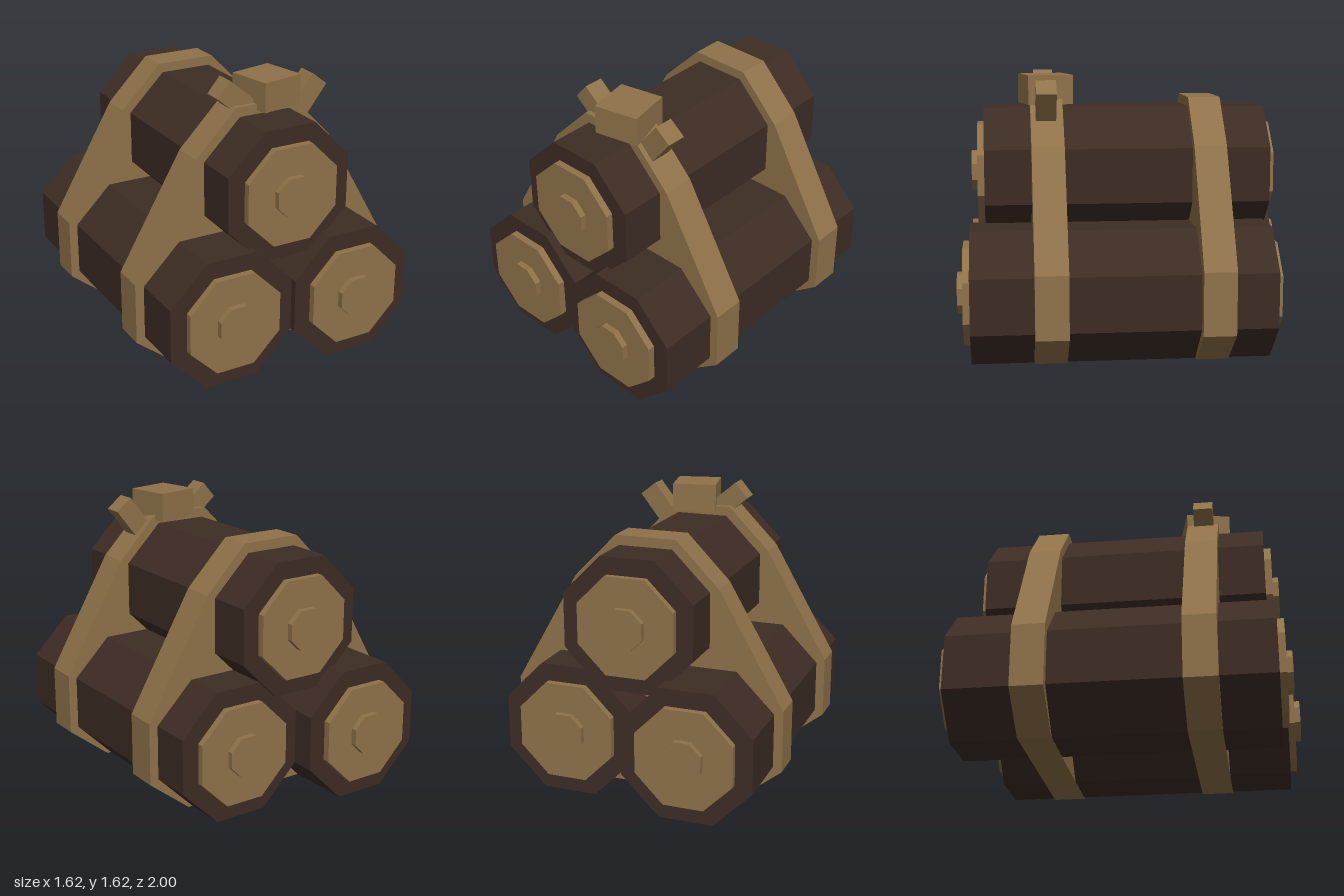
import * as THREE from 'three';

const bark = new THREE.MeshStandardMaterial({ color: 0x3d2c24 });
bark.name = 'bark';
const wood = new THREE.MeshStandardMaterial({ color: 0x8f7249 });
wood.name = 'cutWoodAndRope';

// Flat-sided octagonal prism along z, sized by its half-width across the flats
function octagon(name, apothem, z0, z1, material) {
  const r = apothem / Math.cos(Math.PI / 8);
  const geo = new THREE.CylinderGeometry(r, r, z1 - z0, 8).toNonIndexed();
  geo.rotateY(Math.PI / 8).rotateX(Math.PI / 2).translate(0, 0, (z0 + z1) / 2);
  geo.computeVertexNormals();
  const mesh = new THREE.Mesh(geo, material);
  mesh.name = name;
  return mesh;
}

// A log with a pale cut face and a raised core on both ends
function makeLog(name, x, y, back, front) {
  const log = new THREE.Group();
  log.name = name;
  log.add(
    octagon('bark', 0.379, back, front, bark),
    octagon('cutFaces', 0.28, back - 0.041, front + 0.041, wood),
    octagon('cores', 0.113, back - 0.077, front + 0.077, wood),
  );
  log.position.set(x, y, 0);
  return log;
}

// Strap wrapped tightly around the whole bundle
function makeStrap(name, z0, z1) {
  const half = [[0.56, 0], [0.81, 0.2], [0.81, 0.56], [0.43, 1.22], [0.18, 1.475]];
  const mirrored = half.map(([x, y]) => [-x, y]).reverse();
  const shape = new THREE.Shape([...half, ...mirrored].map(([x, y]) => new THREE.Vector2(x, y)));
  const geo = new THREE.ExtrudeGeometry(shape, { depth: z1 - z0, bevelEnabled: false });
  const mesh = new THREE.Mesh(geo.translate(0, 0, z0), wood);
  mesh.name = name;
  return mesh;
}

function makeBox(name, size, position, rotY, rotZ) {
  const mesh = new THREE.Mesh(new THREE.BoxGeometry(...size), wood);
  mesh.name = name;
  mesh.position.set(...position);
  mesh.rotation.set(0, rotY, rotZ);
  return mesh;
}

export function createModel() {
  const model = new THREE.Group();
  model.name = 'logBundle';

  // Three stacked logs of slightly different lengths
  model.add(
    makeLog('rightLog', -0.379, 0.381, -0.923, 0.885),
    makeLog('leftLog', 0.379, 0.381, -0.788, 0.923),
    makeLog('topLog', 0, 1.04, -0.805, 0.836),
  );

  // Straps
  model.add(makeStrap('frontStrap', 0.383, 0.57), makeStrap('backStrap', -0.54, -0.353));

  // Knot with two loose ends
  const knot = new THREE.Group();
  knot.name = 'knot';
  knot.add(
    makeBox('knotBlock', [0.265, 0.17, 0.265], [0.066, 1.523, 0.477], 0.21, 0),
    makeBox('rightTail', [0.3, 0.12, 0.116], [-0.125, 1.479, 0.482], 0, -0.7),
    makeBox('leftTail', [0.3, 0.12, 0.116], [0.283, 1.43, 0.482], 0, 0.91),
  );
  model.add(knot);
  return model;
}
